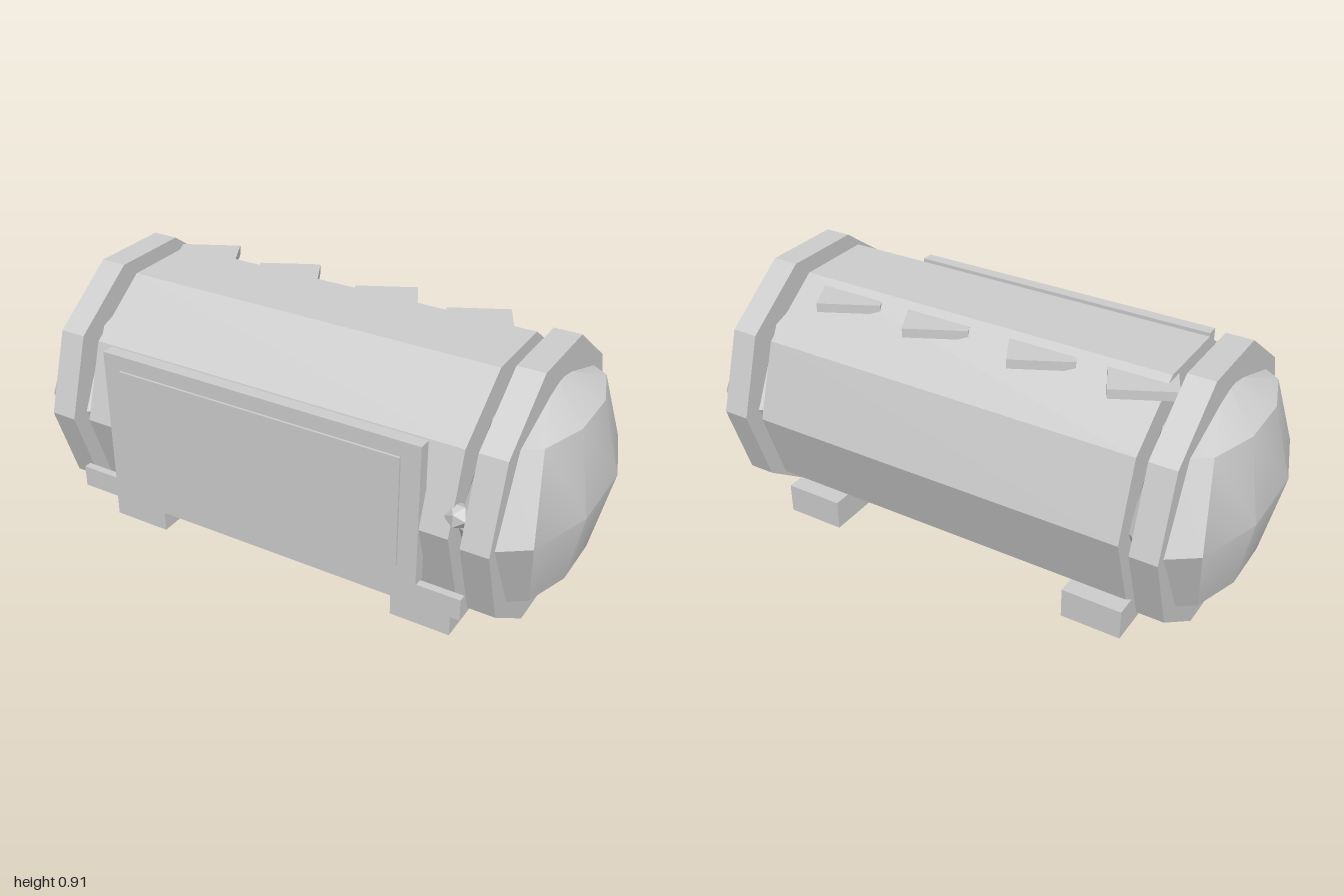
import * as THREE from 'three';
import { toCreasedNormals } from 'three/addons/utils/BufferGeometryUtils.js';

const CENTRE_Y = 0.457;
const CREASE = THREE.MathUtils.degToRad(30);

export function createModel() {
  const model = new THREE.Group();
  model.name = 'capsule';
  const grey = new THREE.MeshStandardMaterial({ color: 0xcccccc });
  grey.name = 'light grey';

  function add(name, geometry, x, y, z) {
    const mesh = new THREE.Mesh(geometry, grey);
    mesh.name = name;
    mesh.position.set(x, y, z);
    model.add(mesh);
    return mesh;
  }

  // Box given by its limits on each axis
  function box(name, [x0, x1], [y0, y1], [z0, z1]) {
    return add(name, new THREE.BoxGeometry(x1 - x0, y1 - y0, z1 - z0),
      (x0 + x1) / 2, (y0 + y1) / 2, (z0 + z1) / 2);
  }

  // Ten-sided drum lying along x
  function drum(name, radius, x0, x1) {
    const g = new THREE.CylinderGeometry(radius, radius, x1 - x0, 10).rotateZ(Math.PI / 2);
    add(name, toCreasedNormals(g, CREASE), (x0 + x1) / 2, CENTRE_Y, 0);
  }

  drum('body', 0.455, -0.688, 0.685);

  // Collars and flattened domes at both ends
  for (const side of [-1, 1]) {
    const end = side > 0 ? 'left' : 'right';
    drum(end + 'Collar', 0.48, side * 0.782 - 0.047, side * 0.782 + 0.047);
    const dome = new THREE.SphereGeometry(1, 10, 4, Math.PI / 2).scale(0.2103, 0.393, 0.461);
    add(end + 'Dome', toCreasedNormals(dome, CREASE), side * 0.8, CENTRE_Y, 0);
  }

  // Front hatch with raised panel and the rail beneath it
  box('hatchFrame', [-0.588, 0.588], [0.25, 0.75], [0.415, 0.459]);
  box('hatchPanel', [-0.522, 0.522], [0.306, 0.696], [0.458, 0.467]);
  box('rail', [-0.742, 0.736], [0.166, 0.244], [0.42, 0.447]);

  // Feet running front to back
  box('rightFoot', [-0.675, -0.46], [0.02, 0.129], [-0.367, 0.367]);
  box('leftFoot', [0.456, 0.67], [0.02, 0.129], [-0.367, 0.367]);

  // Slanted fins along the upper back, each placed by its rear corner
  const slant = THREE.MathUtils.degToRad(26.5);
  for (const x of [-0.546, -0.2, 0.19, 0.537]) {
    const fin = new THREE.BoxGeometry(0.215, 0.032, 0.16).translate(-0.1075, 0, 0.08);
    add('fin', fin, x, 0.856, -0.289).rotation.y = slant;
  }

  // Small knob beside the hatch
  add('knob', new THREE.IcosahedronGeometry(0.043, 0), 0.692, 0.52, 0.41);

  return model;
}
